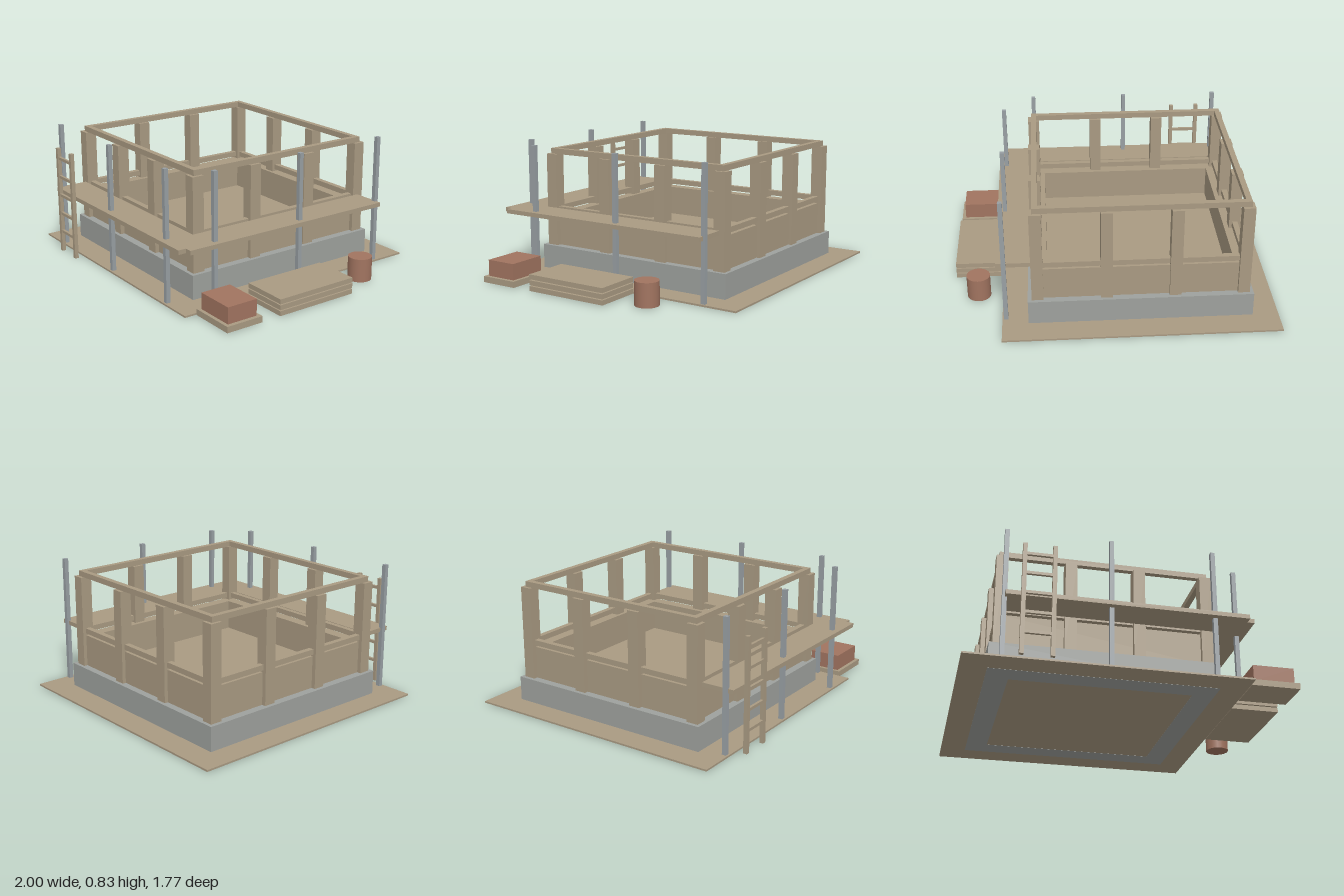
import * as THREE from 'three';

export function createModel() {
  const root = new THREE.Group();
  root.name = 'buildingSite';
  const mat = (name, color) => {
    const m = new THREE.MeshStandardMaterial({ color });
    m.name = name;
    return m;
  };
  const wood = mat('wood', 0xa99a82);
  const concrete = mat('concrete', 0x9ea19d);
  const steel = mat('steel', 0x989fa3);
  const clay = mat('clay', 0xa17460);

  const group = (name) => {
    const g = new THREE.Group();
    g.name = name;
    root.add(g);
    return g;
  };
  // Box given by its extents along each axis
  const box = (parent, name, material, [x0, x1], [y0, y1], [z0, z1]) => {
    const mesh = new THREE.Mesh(new THREE.BoxGeometry(x1 - x0, y1 - y0, z1 - z0), material);
    mesh.position.set((x0 + x1) / 2, (y0 + y1) / 2, (z0 + z1) / 2);
    mesh.name = name;
    parent.add(mesh);
    return mesh;
  };
  // Rectangular frame lying flat, extruded upwards
  const ring = (parent, name, material, [x0, x1], [z0, z1], width, [y0, y1]) => {
    const shape = new THREE.Shape([
      new THREE.Vector2(x0, -z1), new THREE.Vector2(x1, -z1),
      new THREE.Vector2(x1, -z0), new THREE.Vector2(x0, -z0)]);
    const w = width;
    shape.holes.push(new THREE.Path([
      new THREE.Vector2(x0 + w, -z1 + w), new THREE.Vector2(x0 + w, -z0 - w),
      new THREE.Vector2(x1 - w, -z0 - w), new THREE.Vector2(x1 - w, -z1 + w)]));
    const geo = new THREE.ExtrudeGeometry(shape, { depth: y1 - y0, bevelEnabled: false });
    geo.rotateX(-Math.PI / 2);
    const mesh = new THREE.Mesh(geo, material);
    mesh.position.y = y0;
    mesh.name = name;
    parent.add(mesh);
  };

  // Ground sheet and foundation
  box(root, 'groundSheet', wood, [-1, 0.695], [0.001, 0.012], [-0.885, 0.815]);
  ring(root, 'foundation', concrete, [-0.84, 0.535], [-0.72, 0.65], 0.135, [0, 0.165]);

  // House frame: floor, low walls, columns, rails
  const frame = group('houseFrame');
  box(frame, 'floor', wood, [-0.74, 0.435], [0.155, 0.172], [-0.625, 0.555]);
  ring(frame, 'lowWalls', wood, [-0.79, 0.485], [-0.675, 0.6], 0.074, [0.165, 0.37]);
  const xs = [-0.78, -0.362, 0.056, 0.475];
  const zs = [-0.66, -0.243, 0.173, 0.59];
  xs.forEach((x, i) => zs.forEach((z, j) => {
    if (i % 3 && j % 3) return;
    box(frame, 'column', wood, [x - 0.036, x + 0.036], [0.165, 0.755], [z - 0.038, z + 0.038]);
  }));
  for (const [name, y] of [['middleRail', [0.383, 0.417]], ['topBeam', [0.755, 0.79]]]) {
    ring(frame, name, wood, [-0.797, 0.492], [-0.677, 0.607], 0.035, y);
  }

  // Scaffold: L-shaped walkway on steel posts
  const scaffold = group('scaffold');
  box(scaffold, 'frontWalkway', wood, [-0.775, 0.675], [0.383, 0.41], [0.63, 0.84]);
  box(scaffold, 'sideWalkway', wood, [0.51, 0.72], [0.383, 0.41], [-0.66, 0.79]);
  const posts = [[-0.777, 0.79], [-0.153, 0.79], [0.473, 0.79],
    [0.672, -0.66], [0.672, -0.035], [0.672, 0.59]];
  for (const [x, z] of posts) {
    box(scaffold, 'post', steel, [x - 0.0135, x + 0.0135], [0.002, 0.83], [z - 0.0135, z + 0.0135]);
  }

  // Ladder
  const ladder = group('ladder');
  for (const x of [-0.678, -0.502]) {
    box(ladder, 'ladderRail', wood, [x - 0.0125, x + 0.0125], [0.002, 0.705], [0.855, 0.88]);
  }
  for (let i = 0; i < 5; i++) {
    const y = 0.14 + i * 0.125;
    box(ladder, 'rung', wood, [-0.67, -0.51], [y - 0.009, y + 0.009], [0.859, 0.876]);
  }

  // Stacked boards
  const stack = group('boardStack');
  for (let i = 0; i < 3; i++) {
    const y = 0.004 + i * 0.0365;
    box(stack, 'board', wood, [0.7, 1], [y, y + 0.03], [-0.183, 0.367]);
  }

  // Pallet with bricks
  const pallet = group('brickPallet');
  box(pallet, 'palletBase', wood, [0.7, 1], [0.002, 0.04], [0.495, 0.74]);
  box(pallet, 'bricks', clay, [0.72, 0.975], [0.04, 0.142], [0.518, 0.718]);

  // Barrel
  const barrel = new THREE.Mesh(new THREE.CylinderGeometry(0.074, 0.074, 0.148, 24), clay);
  barrel.position.set(0.846, 0.078, -0.385);
  barrel.name = 'barrel';
  root.add(barrel);

  return root;
}
